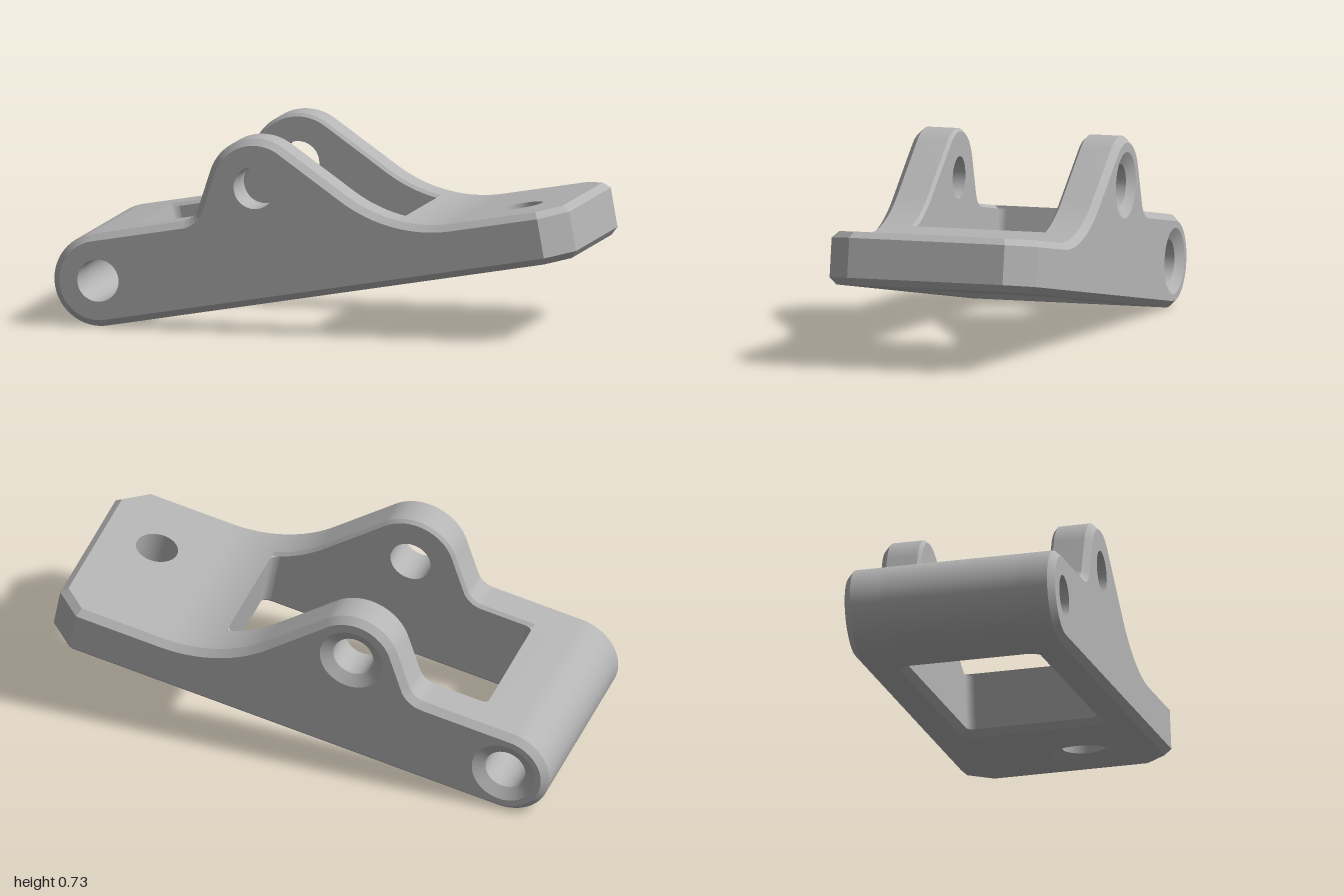
import * as THREE from 'three';
import { toCreasedNormals } from 'three/addons/utils/BufferGeometryUtils.js';

const V = (x, y) => new THREE.Vector2(x, y);
const rad = THREE.MathUtils.degToRad;

// Points on an arc, angles in degrees
function arc(cx, cy, r, from, to, n) {
  return Array.from({ length: n + 1 }, (_, i) => {
    const a = rad(from + (to - from) * i / n);
    return V(cx + r * Math.cos(a), cy + r * Math.sin(a));
  });
}
const circleHole = (cx, cy, r) => arc(cx, cy, r, 360, 0, 40).slice(0, -1);

// Solid stacked from levels { w, loop, holes }: loops anticlockwise, holes clockwise
function solid(levels) {
  const pos = [];
  const put = (p, w) => pos.push(p.x, p.y, w);
  const strip = (a, wa, b, wb) => a.forEach((p, i) => {
    const j = (i + 1) % a.length;
    put(p, wa); put(a[j], wa); put(b[j], wb);
    put(p, wa); put(b[j], wb); put(b[i], wb);
  });
  const cap = ({ w, loop, holes = [] }, flip) => {
    const all = [...loop, ...holes.flat()];
    for (const [a, b, c] of THREE.ShapeUtils.triangulateShape(loop.slice(), holes.map(h => h.slice())))
      for (const k of flip ? [a, c, b] : [a, b, c]) put(all[k], w);
  };
  cap(levels[0], true);
  cap(levels[levels.length - 1], false);
  for (let i = 1; i < levels.length; i++) {
    const a = levels[i - 1], b = levels[i];
    strip(a.loop, a.w, b.loop, b.w);
    (a.holes || []).forEach((h, k) => strip(h, a.w, b.holes[k], b.w));
  }
  const g = new THREE.BufferGeometry();
  g.setAttribute('position', new THREE.Float32BufferAttribute(pos, 3));
  return g;
}

// Main sizes, measured along the sloping base with the end pivot at the origin
const BASE = -0.175, SEAM = -0.15, TOP = 0.175, TONGUE = 0.025;
const JOIN = 1.4, END = 1.827, HALF = 0.405, CH = 0.025, CUT = 0.1;
const W0 = 0.147, W1 = 1.183, WZ = 0.25, FILLET = 0.03;
const LUG = V(0.661, 0.264), BORE = 0.08, SINK = 0.125;
const SWEEP = { x: 1.39, y: 0.575, r: 0.55 };

// Side outline of a cheek, its upper edge inset by d
function cheekLoop(d) {
  return [
    V(0.001, SEAM), V(JOIN, SEAM), V(JOIN, TONGUE - d),
    ...arc(SWEEP.x, SWEEP.y, SWEEP.r + d, 270, 225, 20),
    ...arc(LUG.x, LUG.y, 0.185 - d, 45, 152, 24),
    ...arc(0.356, 0.255, 0.08 + d, 332, 270, 12),
    ...arc(0, 0, TOP - d, 90, 270, 32),
  ];
}

// Plan outline of the base or tongue, with cut corners, inset by d
function planLoop(start, d) {
  const e = END - d, z = HALF - d, k = Math.SQRT2 - 1;
  return [
    V(start, -z), V(END - CUT - k * d, -z), V(e, -(HALF - CUT - k * d)),
    V(e, HALF - CUT - k * d), V(END - CUT - k * d, z), V(start, z),
  ];
}

// Rounded window opening, widened by d
function windowHole(d) {
  const r = FILLET + d, a = W0 + FILLET, b = W1 - FILLET, z = WZ - FILLET;
  return [
    ...arc(a, -z, r, 270, 180, 6), ...arc(a, z, r, 180, 90, 6),
    ...arc(b, z, r, 90, 0, 6), ...arc(b, -z, r, 360, 270, 6),
  ];
}

export function createModel() {
  const grey = new THREE.MeshStandardMaterial({ color: 0xb4b4b4 });
  grey.name = 'machined grey';

  const body = new THREE.Group();
  body.name = 'bracketBody';
  function add(name, levels, flat = false) {
    const g = solid(levels);
    if (flat) g.rotateX(-Math.PI / 2);
    const mesh = new THREE.Mesh(toCreasedNormals(g, rad(25)), grey);
    mesh.name = name;
    body.add(mesh);
  }

  // Cheeks with pivot lugs; the rear bores are countersunk
  const cheekLevel = (w, d, r = BORE) => ({
    w, loop: cheekLoop(d), holes: [circleHole(0, 0, r), circleHole(LUG.x, LUG.y, r)],
  });
  const inner = 0.012;
  add('frontCheek', [
    cheekLevel(WZ, inner), cheekLevel(WZ + inner, 0),
    cheekLevel(HALF - CH, 0), cheekLevel(HALF, CH),
  ]);
  add('rearCheek', [
    cheekLevel(-HALF, CH, SINK), cheekLevel(CH - HALF, 0),
    cheekLevel(-WZ - inner, 0), cheekLevel(-WZ, inner),
  ]);

  // Cross pieces that close the two ends of the window
  const across = (name, loop, holes = []) =>
    add(name, [-1, 1].map(s => ({ w: s * (WZ + inner), loop, holes })));
  across('pivotBarrel',
    [V(0.001, SEAM), V(W0, SEAM), V(W0, TOP), ...arc(0, 0, TOP, 90, 270, 32)],
    [circleHole(0, 0, BORE)]);
  const stop = 180 + THREE.MathUtils.radToDeg(Math.acos((SWEEP.x - W1) / SWEEP.r));
  across('tongueRoot', [
    V(W1, SEAM), V(JOIN, SEAM), V(JOIN, TONGUE),
    ...arc(SWEEP.x, SWEEP.y, SWEEP.r, 270, stop, 12),
  ]);

  // Tongue and base layer, both pierced by the mounting hole
  const drill = r => circleHole(1.589, -0.1, r);
  const tongue = (w, d) => ({ w, loop: planLoop(JOIN, d), holes: [drill(BORE)] });
  add('tongue', [tongue(SEAM, 0), tongue(TONGUE - CH, 0), tongue(TONGUE, CH)], true);
  const base = (w, d, r) => ({ w, loop: planLoop(0, d), holes: [drill(r), windowHole(d)] });
  add('base', [base(BASE, CH, SINK), base(SEAM, 0, BORE)], true);

  // Small fillets in the window corners
  for (const [u, su, top] of [[W0, 1, 0.163], [W1, -1, 0.06]]) {
    for (const sz of [-1, 1]) {
      const loop = [V(0, 0), ...arc(FILLET, FILLET, FILLET, 270, 180, 6)]
        .map(p => V(u + su * p.x, sz * (WZ - p.y)));
      if (THREE.ShapeUtils.isClockWise(loop)) loop.reverse();
      add('windowFillet', [{ w: SEAM, loop }, { w: top, loop }], true);
    }
  }

  // Tilt the body so that it rests on its rounded end
  body.rotation.z = rad(10);
  body.position.set(-0.825, 0.175, 0);
  const model = new THREE.Group();
  model.name = 'pivotBracket';
  model.add(body);
  return model;
}
